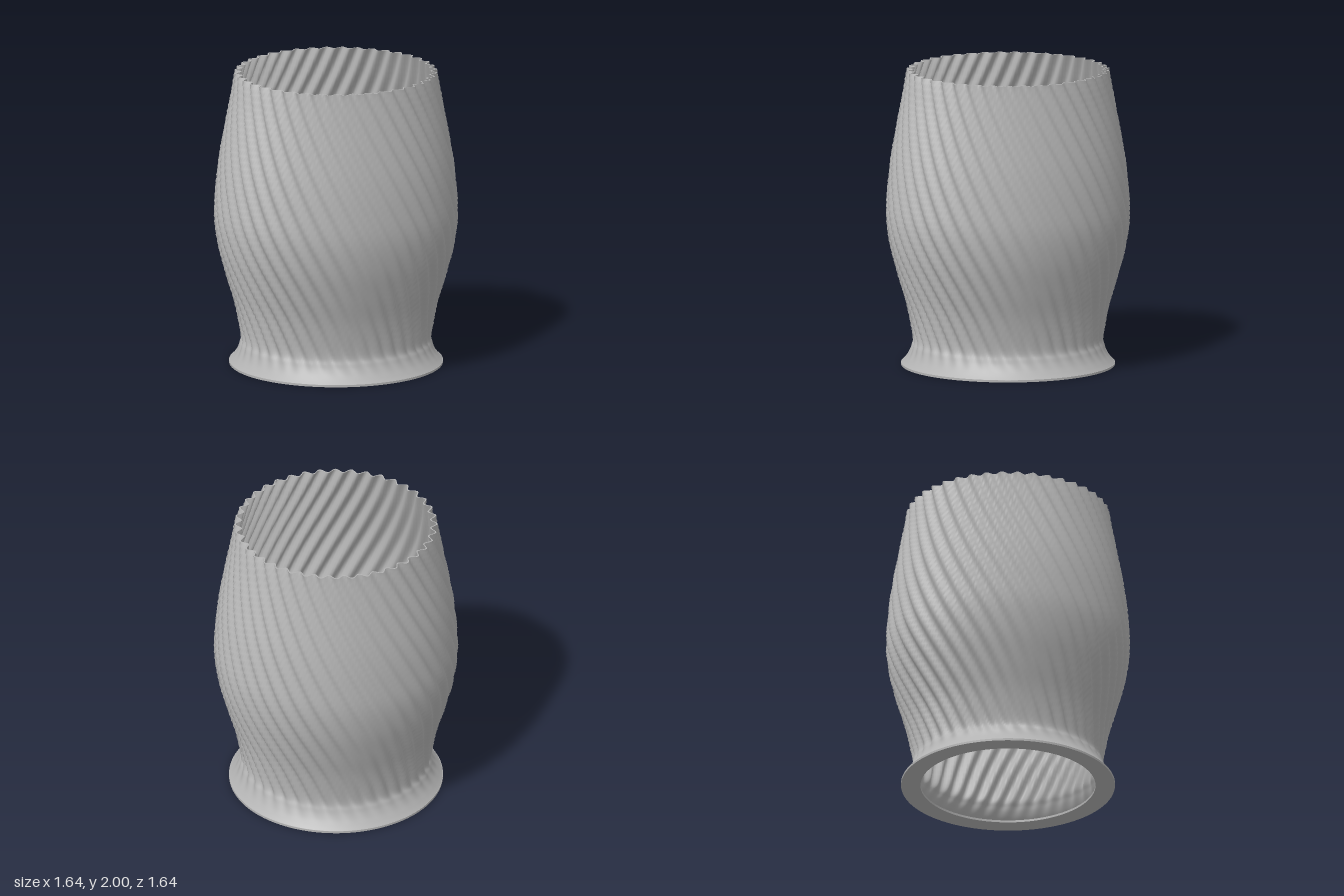
import * as THREE from 'three';

const RIBS = 40, SEGS = RIBS * 8, TWIST = 0.65, DEPTH = 0.02, WALL = 0.01;

// Centre line of the outer wall as [height, radius]
const PROFILE = [
  [0.015, 0.712], [0.04, 0.69], [0.08, 0.662], [0.13, 0.64], [0.2, 0.626], [0.4, 0.66],
  [0.6, 0.718], [0.8, 0.771], [1.0, 0.798], [1.2, 0.79], [1.4, 0.768], [1.6, 0.734],
  [1.8, 0.696], [2.0, 0.66],
];

// Ribbed ring: twisted sine wave that fades out towards the foot
function ring(y, radius) {
  const depth = DEPTH * THREE.MathUtils.smoothstep(y, 0.03, 0.3);
  const points = [];
  for (let i = 0; i < SEGS; i++) {
    const a = (i / SEGS) * Math.PI * 2;
    const r = radius + depth * Math.cos(RIBS * (a + TWIST * y));
    points.push(r * Math.sin(a), y, r * Math.cos(a));
  }
  return points;
}

// Join closed rings into a smooth skin
function skin(rings) {
  const index = [];
  for (let j = 0; j < rings.length - 1; j++) {
    for (let i = 0; i < SEGS; i++) {
      const n = (i + 1) % SEGS;
      const a = j * SEGS + i, b = j * SEGS + n;
      index.push(a, b, b + SEGS, a, b + SEGS, a + SEGS);
    }
  }
  const geometry = new THREE.BufferGeometry();
  geometry.setAttribute('position', new THREE.Float32BufferAttribute(rings.flat(), 3));
  geometry.setIndex(index);
  geometry.computeVertexNormals();
  return geometry;
}

export function createModel() {
  const group = new THREE.Group();
  group.name = 'twistedVase';
  const grey = new THREE.MeshStandardMaterial({ color: 0xb4b4b4 });
  grey.name = 'light grey';

  const add = (name, geometry) => {
    const mesh = new THREE.Mesh(geometry, grey);
    mesh.name = name;
    group.add(mesh);
  };

  const curve = new THREE.SplineCurve(PROFILE.map(([y, r]) => new THREE.Vector2(y, r)));
  const points = curve.getPoints(65);

  // Outer and inner faces of the thin wall, and the wavy rim between them
  const outer = points.map(p => ring(p.x, p.y));
  const inner = points.map(p => ring(p.x, p.y - WALL)).reverse();
  add('outerWall', skin(outer));
  add('innerWall', skin(inner));
  add('rim', skin([outer[outer.length - 1], inner[0]]));

  // Flat foot ring with an open centre
  const foot = new THREE.Shape().absarc(0, 0, 0.715, 0, Math.PI * 2, false);
  foot.holes.push(new THREE.Path().absarc(0, 0, 0.585, 0, Math.PI * 2, true));
  const footGeometry = new THREE.ExtrudeGeometry(foot, { depth: 0.015, bevelEnabled: false, curveSegments: 96 });
  footGeometry.rotateX(-Math.PI / 2);
  add('footRing', footGeometry);

  return group;
}
